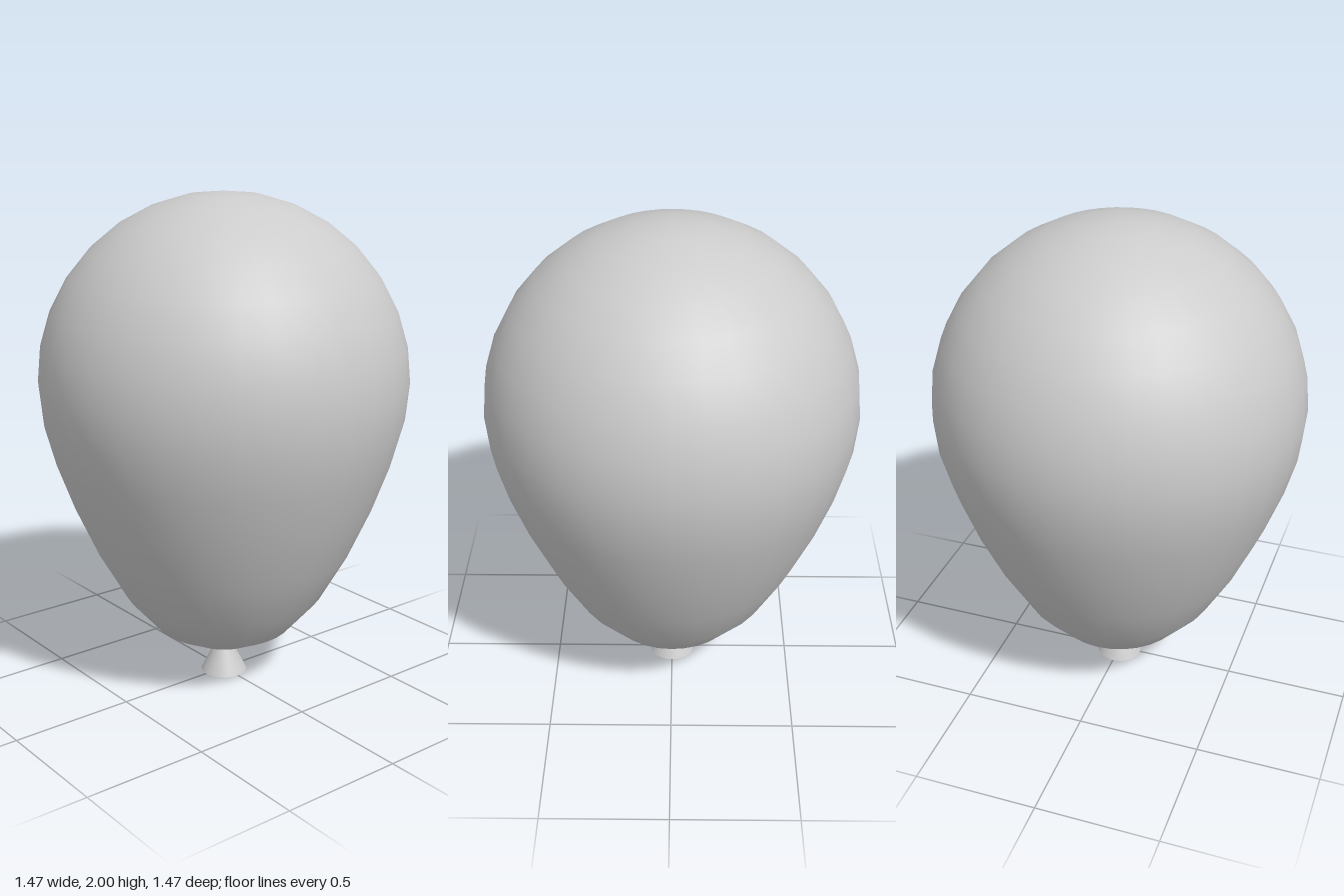
import * as THREE from 'three';

export function createModel() {
  const model = new THREE.Group();
  const material = new THREE.MeshStandardMaterial({ color: 0xcccccc });

  // Balloon body: a sphere whose lower half is drawn out into a teardrop
  const radius = 0.735, centreY = 1.265, rows = 16;
  const drops = [0, 0.15, 0.307, 0.495, 0.7, 0.898, 1.043, 1.115, 1.15];
  const bodyGeometry = new THREE.SphereGeometry(radius, 32, rows);
  const position = bodyGeometry.attributes.position;
  for (let i = 0; i < position.count; i++) {
    const y = position.getY(i);
    if (y > -0.001) continue;
    const row = Math.round(Math.acos(Math.max(-1, y / radius)) / Math.PI * rows);
    position.setY(i, -drops[row - rows / 2]);
  }
  bodyGeometry.computeVertexNormals();

  // Join the normals along the sphere's seam
  const normal = bodyGeometry.attributes.normal;
  const a = new THREE.Vector3(), b = new THREE.Vector3();
  for (let row = 1; row < rows; row++) {
    const first = row * 33, last = first + 32;
    a.fromBufferAttribute(normal, first).add(b.fromBufferAttribute(normal, last)).normalize();
    normal.setXYZ(first, a.x, a.y, a.z);
    normal.setXYZ(last, a.x, a.y, a.z);
  }
  // Poles point straight up and down
  for (let i = 0; i < 33; i++) {
    normal.setXYZ(i, 0, 1, 0);
    normal.setXYZ(rows * 33 + i, 0, -1, 0);
  }
  const body = new THREE.Mesh(bodyGeometry, material);
  body.name = 'balloonBody';
  body.position.y = centreY;
  model.add(body);

  // Tied neck flaring out below the body
  const knot = new THREE.Mesh(new THREE.ConeGeometry(0.095, 0.19, 32), material);
  knot.name = 'knot';
  knot.position.y = 0.095;
  model.add(knot);

  return model;
}
